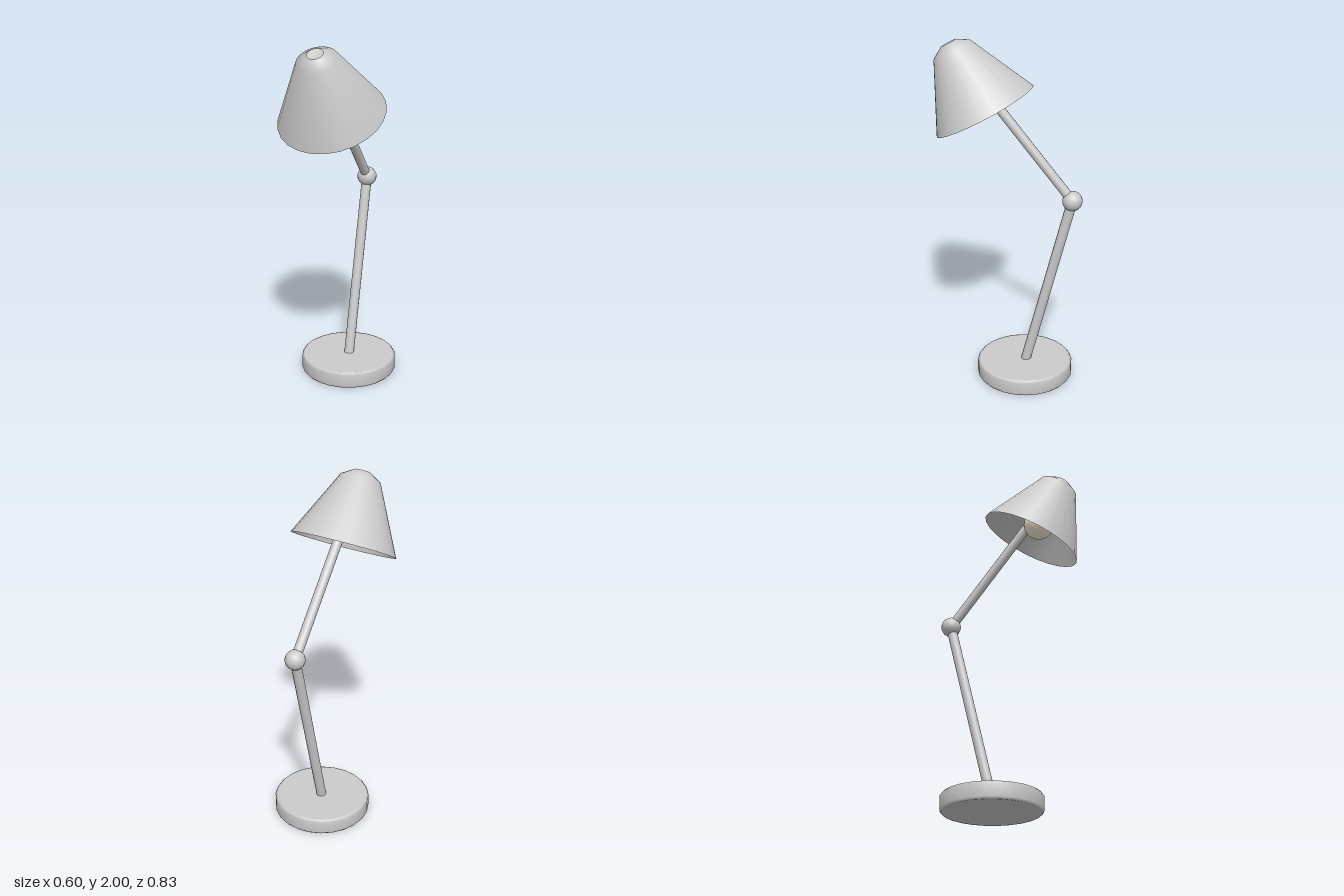
import * as THREE from 'three';

const grey = new THREE.MeshStandardMaterial({ color: 0xcccccc });
const greyThin = new THREE.MeshStandardMaterial({ color: 0xcccccc, side: THREE.DoubleSide });
const warm = new THREE.MeshStandardMaterial({ color: 0xfff3dc });

const points = (list) => list.map(([r, y]) => new THREE.Vector2(r, y));

function addMesh(parent, name, geometry, material = grey) {
  const mesh = new THREE.Mesh(geometry, material);
  mesh.name = name;
  parent.add(mesh);
  return mesh;
}

// Straight round rod between two points
function addRod(parent, name, from, to, radius) {
  const dir = to.clone().sub(from);
  const rod = addMesh(parent, name, new THREE.CylinderGeometry(radius, radius, dir.length(), 12));
  rod.position.copy(from).add(to).multiplyScalar(0.5);
  rod.quaternion.setFromUnitVectors(new THREE.Vector3(0, 1, 0), dir.normalize());
  return rod;
}

export function createModel() {
  const lamp = new THREE.Group();
  lamp.name = 'deskLamp';

  const foot = new THREE.Vector3(0, 0.06, -0.095);
  const elbow = new THREE.Vector3(0, 1.133, -0.36);
  const tip = new THREE.Vector3(0, 1.94, 0.308);

  // Round weighted base with softened edges
  const base = addMesh(lamp, 'base', new THREE.LatheGeometry(points([
    [0, 0], [0.264, 0], [0.27, 0], [0.28, 0.012], [0.28, 0.083], [0.27, 0.095], [0.264, 0.095], [0, 0.095],
  ]), 24));
  base.position.z = foot.z;

  // Two arms meeting at a ball joint
  addRod(lamp, 'lowerArm', foot, elbow, 0.029);
  addRod(lamp, 'upperArm', elbow, tip, 0.027);
  addMesh(lamp, 'elbowJoint', new THREE.SphereGeometry(0.057, 16, 12)).position.copy(elbow);

  // Tilted head: origin at the centre of the shade's rim
  const head = new THREE.Group();
  head.name = 'head';
  head.position.set(0, 1.617, 0.139);
  head.rotation.x = 0.5;
  lamp.add(head);

  // Thin conical shade with a rounded shoulder
  addMesh(head, 'shade', new THREE.LatheGeometry(points([
    [0.3, 0], [0.113, 0.375], [0.045, 0.416],
  ]), 24), greyThin);

  // Shallow dished cap closing the top
  addMesh(head, 'shadeCap', new THREE.LatheGeometry(points([[0.045, 0.416], [0, 0.406]]), 24), greyThin);

  // Bulb inside the shade
  addMesh(head, 'bulb', new THREE.SphereGeometry(0.09, 20, 14), warm).position.y = 0.11;

  return lamp;
}
